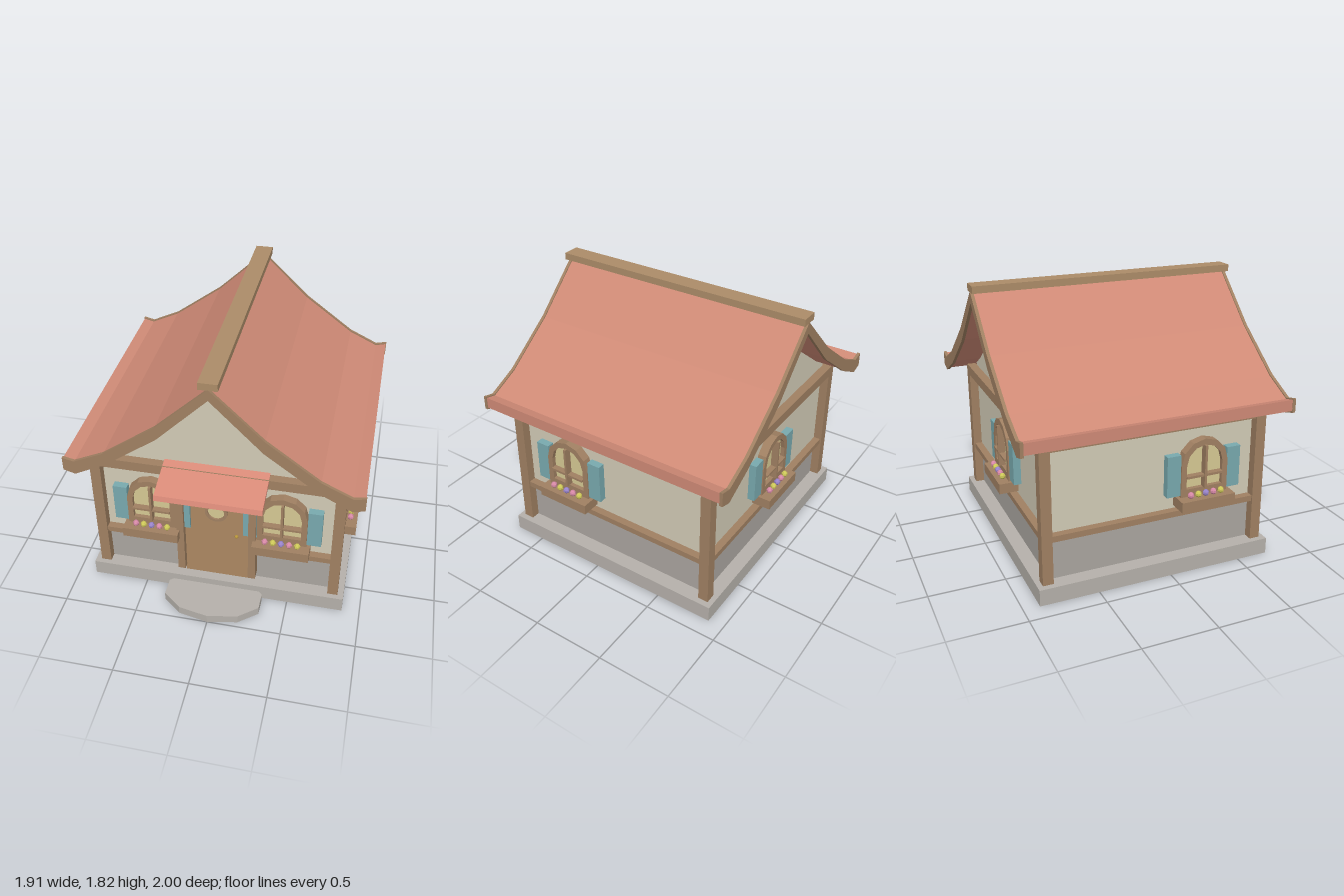
import * as THREE from 'three';

const mat = (color) => new THREE.MeshStandardMaterial({ color, flatShading: true });
const M = {
  stone: mat(0xb5b0aa), lowWall: mat(0xaaa59f), plaster: mat(0xd2cbb6), timber: mat(0xa08062),
  ridge: mat(0xac8c68), door: mat(0xac8862), roof: mat(0xcf8a76), awning: mat(0xd98a78),
  shutter: mat(0x78a9ae), glass: mat(0xd6c993), brass: mat(0xb8963c),
  pink: mat(0xd88aa8), yellow: mat(0xcfc95a), violet: mat(0x9a85cc),
};
const ZC = -0.0875;            // centre of the house body along z
const WX = 0.78, WZ = 0.71;    // half sizes of the walls

function add(parent, name, geo, material, x = 0, y = 0, z = 0) {
  const m = new THREE.Mesh(geo, material);
  m.name = name;
  m.position.set(x, y, z);
  parent.add(m);
  return m;
}

// Box given by its limits on each axis
function box(parent, name, material, x0, x1, y0, y1, z0, z1) {
  return add(parent, name, new THREE.BoxGeometry(x1 - x0, y1 - y0, z1 - z0), material,
    (x0 + x1) / 2, (y0 + y1) / 2, (z0 + z1) / 2);
}

function extrude(parent, name, material, shape, z0, z1) {
  const geo = new THREE.ExtrudeGeometry(shape, { depth: z1 - z0, bevelEnabled: false });
  return add(parent, name, geo, material, 0, 0, z0);
}

const shapeOf = (pts) => new THREE.Shape(pts.map(([x, y]) => new THREE.Vector2(x, y)));
const mirrored = (half) => [...half.slice(1).reverse().map(([x, y]) => [-x, y]), ...half];

// Round-headed window outline: straight sides with a six-sided arch
function archPoints(r, bottom, springY) {
  const pts = [[-r, bottom], [r, bottom]];
  for (let i = 0; i <= 6; i++) {
    const a = (i / 6) * Math.PI;
    pts.push([r * Math.cos(a), springY + r * Math.sin(a)]);
  }
  return pts;
}

// Window with shutters and flower box; its back lies on the wall at z = 0
function makeWindow(name) {
  const g = new THREE.Group();
  g.name = name;
  const frame = shapeOf(archPoints(0.165, 0.52, 0.738));
  frame.holes.push(shapeOf(archPoints(0.127, 0.572, 0.735)));
  extrude(g, 'windowFrame', M.timber, frame, 0, 0.058);
  extrude(g, 'windowGlass', M.glass, shapeOf(archPoints(0.135, 0.56, 0.735)), 0, 0.03);
  box(g, 'verticalBar', M.timber, -0.008, 0.008, 0.57, 0.862, 0.02, 0.078);
  box(g, 'horizontalBar', M.timber, -0.128, 0.128, 0.648, 0.664, 0.02, 0.07);
  for (const s of [-1, 1]) {
    add(g, 'shutter', new THREE.BoxGeometry(0.095, 0.28, 0.05), M.shutter, s * 0.213, 0.672, 0.025);
  }
  box(g, 'flowerBox', M.timber, -0.19, 0.19, 0.45, 0.52, 0, 0.13);
  [M.pink, M.yellow, M.violet, M.pink, M.yellow].forEach((m, i) =>
    add(g, 'flower', new THREE.SphereGeometry(0.022, 6, 5), m, (i - 2) * 0.054, 0.54, 0.084));
  return g;
}

export function createModel() {
  const house = new THREE.Group();
  house.name = 'cottage';
  const zf = ZC + WZ, zb = ZC - WZ;

  // Foundation and rounded doorstep
  box(house, 'foundation', M.stone, -0.88, 0.88, 0, 0.11, ZC - 0.805, ZC + 0.805);
  add(house, 'doorstep', new THREE.CylinderGeometry(1, 1, 0.06, 10), M.stone, 0, 0.03, 0.8)
    .scale.set(0.345, 1, 0.2);

  // Roof section, from ridge to upturned eave
  const top = [[0, 1.78], [0.335, 1.46], [0.68, 1.205], [0.88, 1.11], [0.957, 1.128]];
  const under = [[0, 1.705], [0.33, 1.37], [0.67, 1.12], [0.88, 1.01], [0.957, 1.033]];
  const section = (dTop, dUnder, dx) => shapeOf([
    ...mirrored(top.map(([x, y], i) => [i === 4 ? x - dx : x, y - dTop])).reverse(),
    ...mirrored(under.map(([x, y], i) => [i === 4 ? x - dx : x, y + dUnder])),
  ]);

  // Walls
  box(house, 'lowerWall', M.lowWall, -WX, WX, 0.1, 0.41, zb, zf);
  extrude(house, 'upperWall', M.plaster, shapeOf([
    [-WX, 0.41], [WX, 0.41], [WX, 1.07], [0.67, 1.13], [0.33, 1.38], [0, 1.72],
    [-0.33, 1.38], [-0.67, 1.13], [-WX, 1.07],
  ]), zb, zf);

  // Roof, barge boards and ridge
  extrude(house, 'roof', M.roof, section(0.008, 0.012, 0.004), -0.98, 0.8);
  extrude(house, 'frontBargeBoard', M.timber, section(0, 0, 0), 0.797, 0.818);
  extrude(house, 'backBargeBoard', M.timber, section(0, 0, 0), -1, -0.979);
  box(house, 'ridgeBeam', M.ridge, -0.06, 0.06, 1.775, 1.822, -1, 0.818);

  // Corner posts and rails
  for (const sx of [-1, 1]) {
    for (const sz of [-1, 1]) {
      add(house, 'cornerPost', new THREE.BoxGeometry(0.07, 0.93, 0.07), M.timber,
        sx * 0.805, 0.575, ZC + sz * 0.735);
    }
    add(house, 'sideTopRail', new THREE.BoxGeometry(0.06, 0.06, 1.42), M.timber, sx * 0.8, 1.01, ZC);
    add(house, 'sideMiddleRail', new THREE.BoxGeometry(0.06, 0.04, 1.42), M.timber, sx * 0.8, 0.41, ZC);
    add(house, 'gableBeam', new THREE.BoxGeometry(1.68, 0.07, 0.06), M.timber, 0, 1.015, ZC + sx * 0.74);
    add(house, 'frontMiddleRail', new THREE.BoxGeometry(0.54, 0.04, 0.06), M.timber,
      sx * 0.51, 0.41, ZC + 0.73);
  }
  add(house, 'backMiddleRail', new THREE.BoxGeometry(1.56, 0.04, 0.06), M.timber, 0, 0.41, ZC - 0.73);

  // Door with frame, round window and knob
  const door = new THREE.Group();
  door.name = 'frontDoor';
  door.position.z = zf;
  house.add(door);
  box(door, 'doorPanel', M.door, -0.225, 0.225, 0.11, 0.94, -0.02, 0.03);
  for (const s of [-1, 1]) {
    add(door, 'doorPost', new THREE.BoxGeometry(0.05, 0.8, 0.075), M.timber, s * 0.245, 0.56, 0.0375);
  }
  box(door, 'doorLintel', M.timber, -0.27, 0.27, 0.93, 0.98, 0, 0.075);
  const ring = new THREE.Shape().absarc(0, 0.705, 0.075, 0, Math.PI * 2);
  ring.holes.push(new THREE.Path().absarc(0, 0.705, 0.056, 0, Math.PI * 2, true));
  const ringGeo = new THREE.ExtrudeGeometry(ring, { depth: 0.03, bevelEnabled: false, curveSegments: 12 });
  add(door, 'doorWindowRing', ringGeo, M.timber, 0, 0, 0.025);
  add(door, 'doorWindowGlass', new THREE.CylinderGeometry(0.06, 0.06, 0.015, 12), M.glass, 0, 0.705, 0.035)
    .rotation.x = Math.PI / 2;
  add(door, 'doorKnob', new THREE.SphereGeometry(0.013, 8, 6), M.brass, 0.135, 0.505, 0.042);

  // Sloping awning, its section drawn in the z-y plane
  const awning = extrude(house, 'awning', M.awning,
    shapeOf([[-0.61, 1.045], [-0.905, 0.955], [-0.895, 0.99], [-0.61, 1.068]]), 0, 0.69);
  awning.rotation.y = Math.PI / 2;
  awning.position.set(-0.345, 0, 0);

  // Windows
  const place = (name, x, z, turn) => {
    const w = makeWindow(name);
    w.position.set(x, 0, z);
    w.rotation.y = turn;
    house.add(w);
  };
  place('frontLeftWindow', 0.44, zf, 0);
  place('frontRightWindow', -0.44, zf, 0);
  place('backWindow', 0, zb, Math.PI);
  place('leftWindow', WX, 0.244, Math.PI / 2);
  place('rightWindow', -WX, 0.244, -Math.PI / 2);
  return house;
}
